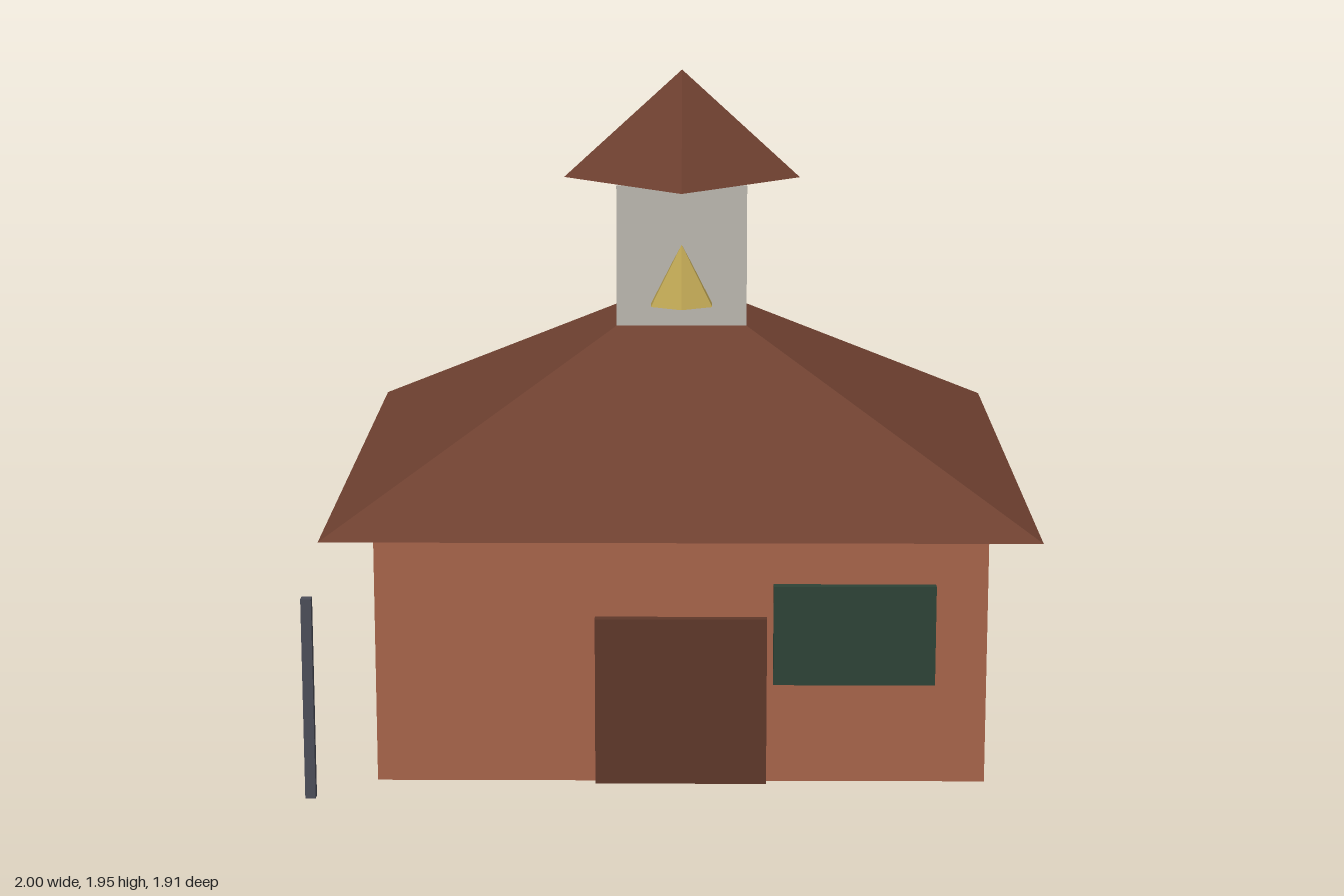
import * as THREE from 'three';

const material = (name, color) => {
  const m = new THREE.MeshStandardMaterial({ color, flatShading: true });
  m.name = name;
  return m;
};

export function createModel() {
  const brick = material('brick', 0xa6634a);
  const tile = material('roof tile', 0x6e4030);
  const stone = material('pale stone', 0xbab6ae);
  const wood = material('dark wood', 0x5e382a);
  const board = material('dark green', 0x2d4236);
  const brass = material('brass', 0xbba352);
  const iron = material('iron', 0x4b4d58);

  const model = new THREE.Group();
  model.name = 'schoolhouse';
  const cx = 0.041; // the building's own centre line

  const add = (name, geometry, mat, x, y, z) => {
    const mesh = new THREE.Mesh(geometry, mat);
    mesh.name = name;
    mesh.position.set(x, y, z);
    model.add(mesh);
    return mesh;
  };
  const box = (name, mat, w, h, d, x, y, z) =>
    add(name, new THREE.BoxGeometry(w, h, d), mat, x, y + h / 2, z);

  // Main block with its door, front panel and standing post
  box('walls', brick, 1.71, 0.802, 1.08, cx, 0, 0);
  box('door', wood, 0.48, 0.48, 0.03, cx, 0, 0.552);
  box('frontPanel', board, 0.452, 0.285, 0.03, 0.525, 0.29, 0.552);
  box('post', iron, 0.029, 0.573, 0.029, -0.9855, 0, 0.685);

  // Hipped roof rising to the foot of the bell tower
  const roof = new THREE.CylinderGeometry(0.184 * Math.SQRT2, 0.957 * Math.SQRT2, 0.438, 4);
  roof.rotateY(Math.PI / 4);
  add('mainRoof', roof, tile, cx, 0.802 + 0.219, 0);

  // Bell tower, its cap set cornerwise, and the bell at its front
  box('bellTower', stone, 0.37, 0.404, 0.37, cx, 1.236, 0);
  add('towerRoof', new THREE.ConeGeometry(0.34, 0.31, 4), tile, cx, 1.795, 0);
  add('bell', new THREE.ConeGeometry(0.1, 0.17, 6), brass, cx, 1.39, 0.2);

  return model;
}
